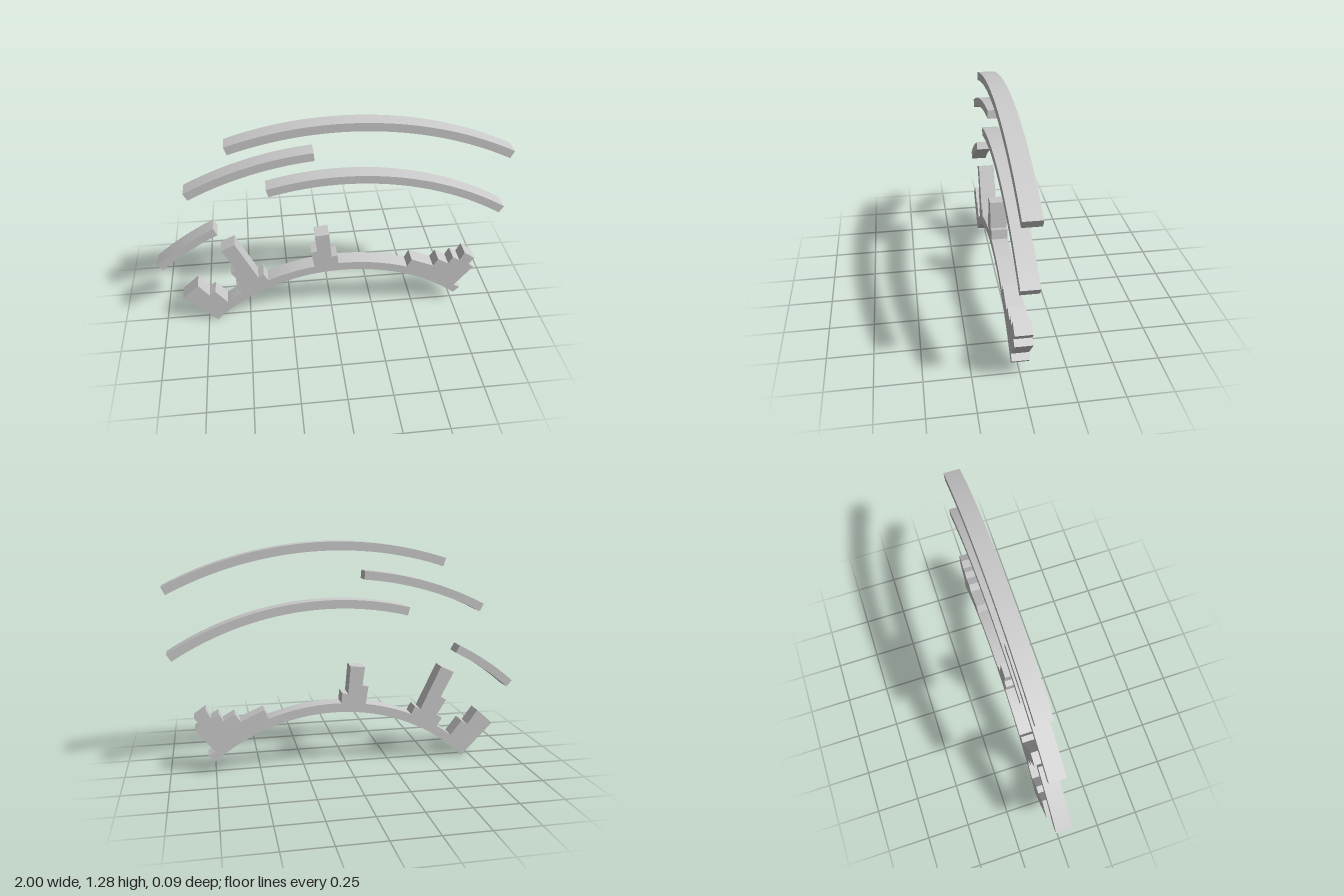
import * as THREE from 'three';

// All arcs share one centre
const CX = 0.066, CY = -0.767, DEPTH = 0.095;
const angleOf = ([x, y]) => Math.atan2(y - CY, x - CX);

function slab(name, shape) {
  const geometry = new THREE.ExtrudeGeometry(shape, { depth: DEPTH, bevelEnabled: false, curveSegments: 40 });
  geometry.translate(0, 0, -DEPTH / 2);
  const mesh = new THREE.Mesh(geometry, new THREE.MeshStandardMaterial({ color: 0xcccccc }));
  mesh.name = name;
  return mesh;
}

// Curved bar between two outer end points
function arcBar(name, radius, left, right, thickness = 0.048) {
  const a = angleOf(left), b = angleOf(right);
  const shape = new THREE.Shape();
  shape.absarc(CX, CY, radius, a, b, true);
  shape.absarc(CX, CY, radius - thickness, b, a, false);
  return slab(name, shape);
}

// Curved ground band with stepped buildings rising from its outer edge
function skyline() {
  const outer = 1.137, inner = 1.085;
  const buildings = [
    // left end block
    [[-0.695, 0], [-0.885, 0.193], [-0.79, 0.278], [-0.73, 0.195], [-0.693, 0.219], [-0.628, 0.136]],
    // tall leaning tower
    [[-0.54, 0.198], [-0.57, 0.243], [-0.537, 0.265], [-0.591, 0.353], [-0.559, 0.374], [-0.634, 0.519],
      [-0.556, 0.556], [-0.436, 0.305], [-0.404, 0.324], [-0.382, 0.283]],
    // middle tower
    [[-0.107, 0.358], [-0.123, 0.46], [-0.088, 0.468], [-0.102, 0.575], [-0.019, 0.583],
      [-0.005, 0.422], [0.029, 0.428], [0.035, 0.369]],
    // right end steps
    [[0.449, 0.305], [0.473, 0.356], [0.607, 0.297], [0.636, 0.342], [0.7, 0.305], [0.725, 0.35],
      [0.767, 0.324], [0.794, 0.377], [0.858, 0.332], [0.826, 0.289], [0.858, 0.265],
      [0.751, 0.131], [0.789, 0.112], [0.757, 0.078]],
  ];
  const shape = new THREE.Shape();
  buildings.forEach((points, i) => {
    if (i === 0) shape.moveTo(...points[0]);
    else {
      const previous = buildings[i - 1];
      shape.absarc(CX, CY, outer, angleOf(previous[previous.length - 1]), angleOf(points[0]), true);
    }
    points.slice(1).forEach((p) => shape.lineTo(...p));
  });
  // underside of the band
  shape.absarc(CX, CY, inner, angleOf([0.757, 0.078]), angleOf([-0.695, 0]), false);
  return slab('groundWithBuildings', shape);
}

export function createModel() {
  const group = new THREE.Group();
  group.name = 'arcSkyline';
  group.add(
    skyline(),
    arcBar('topArc', 2.049, [-0.564, 1.182], [0.994, 1.053]),
    arcBar('upperLeftArc', 1.894, [-0.8, 0.914], [-0.1, 1.123]),
    arcBar('middleArc', 1.73, [-0.361, 0.909], [0.987, 0.695]),
    arcBar('lowerLeftArc', 1.618, [-1, 0.449], [-0.666, 0.679]),
  );
  return group;
}
